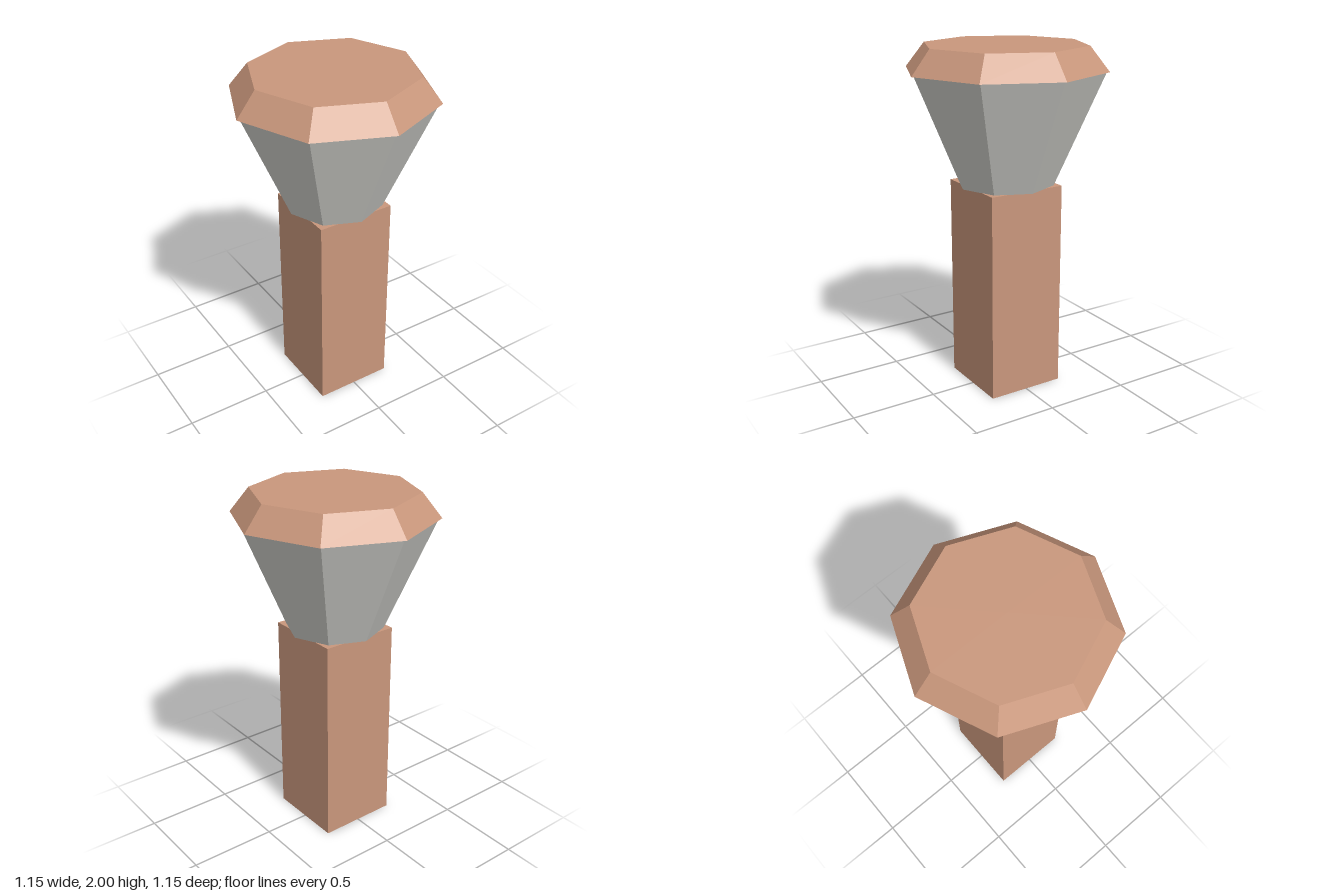
import * as THREE from 'three';

export function createModel() {
  const model = new THREE.Group();
  const copper = new THREE.MeshStandardMaterial({ color: 0xc9977c, flatShading: true });
  copper.name = 'copper';
  const glass = new THREE.MeshStandardMaterial({ color: 0xd0d0cb, flatShading: true });
  glass.name = 'paleGrey';

  const add = (name, geometry, material, y) => {
    const mesh = new THREE.Mesh(geometry, material);
    mesh.name = name;
    mesh.position.y = y;
    model.add(mesh);
  };

  // Eight-sided tapered section between two heights, corners on the axes
  const octagon = (name, rTop, rBottom, y0, y1, material) =>
    add(name, new THREE.CylinderGeometry(rTop, rBottom, y1 - y0, 8), material, (y0 + y1) / 2);

  // Square post
  add('post', new THREE.BoxGeometry(0.462, 1.215, 0.462), copper, 1.215 / 2);
  // Flared lamp body, its base just covering the post top
  octagon('lampBody', 0.56, 0.28, 1.214, 1.862, glass);
  // Bevelled cap overhanging the body
  octagon('cap', 0.467, 0.577, 1.862, 2, copper);

  return model;
}
